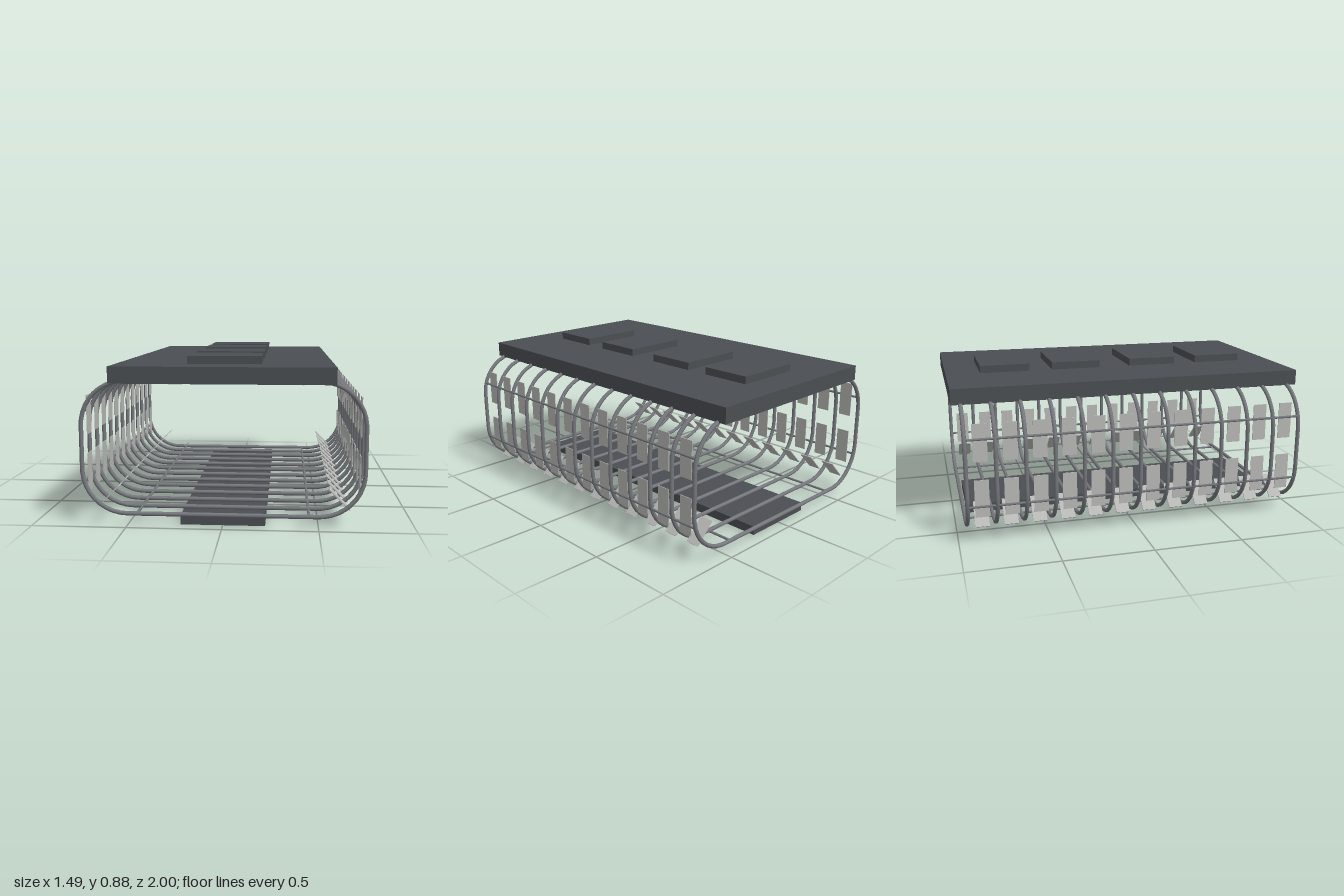
import * as THREE from 'three';

// Rounded-rectangle path of one rib, in the XY plane
class RibCurve extends THREE.Curve {
  constructor() {
    super();
    const x = 0.5, lo = 0.297, hi = 0.528, r = 0.235, q = Math.PI / 2;
    this.outline = new THREE.Path();
    this.outline.moveTo(-x, lo - r);
    this.outline.lineTo(x, lo - r);
    this.outline.absarc(x, lo, r, -q, 0);
    this.outline.lineTo(x + r, hi);
    this.outline.absarc(x, hi, r, 0, q);
    this.outline.lineTo(-x, hi + r);
    this.outline.absarc(-x, hi, r, q, 2 * q);
    this.outline.lineTo(-x - r, lo);
    this.outline.absarc(-x, lo, r, 2 * q, 3 * q);
  }
  getPoint(t, target = new THREE.Vector3()) {
    const p = this.outline.getPoint(t);
    return target.set(p.x, p.y, 0);
  }
}

export function createModel() {
  const model = new THREE.Group();
  const slab = new THREE.MeshStandardMaterial({ name: 'dark slab', color: 0x4a4e52 });
  const metal = new THREE.MeshStandardMaterial({ name: 'grey metal', color: 0x75777c });
  const pane = new THREE.MeshStandardMaterial({ name: 'pale pane', color: 0xb8b8b6 });

  const add = (name, geometry, material, x, y, z) => {
    const mesh = new THREE.Mesh(geometry, material);
    mesh.name = name;
    mesh.position.set(x, y, z);
    model.add(mesh);
    return mesh;
  };

  // Roof, roof hatches and base
  add('roof', new THREE.BoxGeometry(1.156, 0.087, 2), slab, 0, 0.795, 0);
  const hatch = new THREE.BoxGeometry(0.394, 0.044, 0.288);
  for (const z of [-0.662, -0.24, 0.234, 0.657]) add('roofHatch', hatch, slab, 0, 0.859, z);
  add('base', new THREE.BoxGeometry(0.446, 0.05, 1.845), slab, 0, 0.025, 0);

  // Thirteen ribs
  const step = 0.158, ribs = 13;
  const rib = new THREE.TubeGeometry(new RibCurve(), 100, 0.0115, 10, true);
  for (let i = 0; i < ribs; i++) add('rib', rib, metal, 0, 0, (i - (ribs - 1) / 2) * step);

  // Long rails tying the ribs together
  const rail = new THREE.CylinderGeometry(0.007, 0.007, step * (ribs - 1), 8).rotateX(Math.PI / 2);
  for (const s of [-1, 1]) {
    for (const [x, y] of [[0.727, 0.6], [0.727, 0.23], [0.45, 0.06]]) add('rail', rail, metal, s * x, y, 0);
  }

  // Panes in each bay: two upright, one tilted, one under the roof
  const upright = new THREE.BoxGeometry(0.004, 0.207, 0.078);
  const tilted = new THREE.BoxGeometry(0.005, 0.153, 0.078);
  const ceiling = new THREE.BoxGeometry(0.207, 0.01, 0.078);
  for (let i = 0; i < ribs - 1; i++) {
    const z = (i - (ribs - 2) / 2) * step;
    for (const s of [-1, 1]) {
      add('upperPane', upright, pane, s * 0.714, 0.577, z);
      add('lowerPane', upright, pane, s * 0.714, 0.27, z);
      add('tiltedPane', tilted, pane, s * 0.609, 0.143, z).rotation.z = s * Math.PI / 4;
      add('ceilingPane', ceiling, pane, s * 0.315, 0.746, z);
    }
  }
  return model;
}
